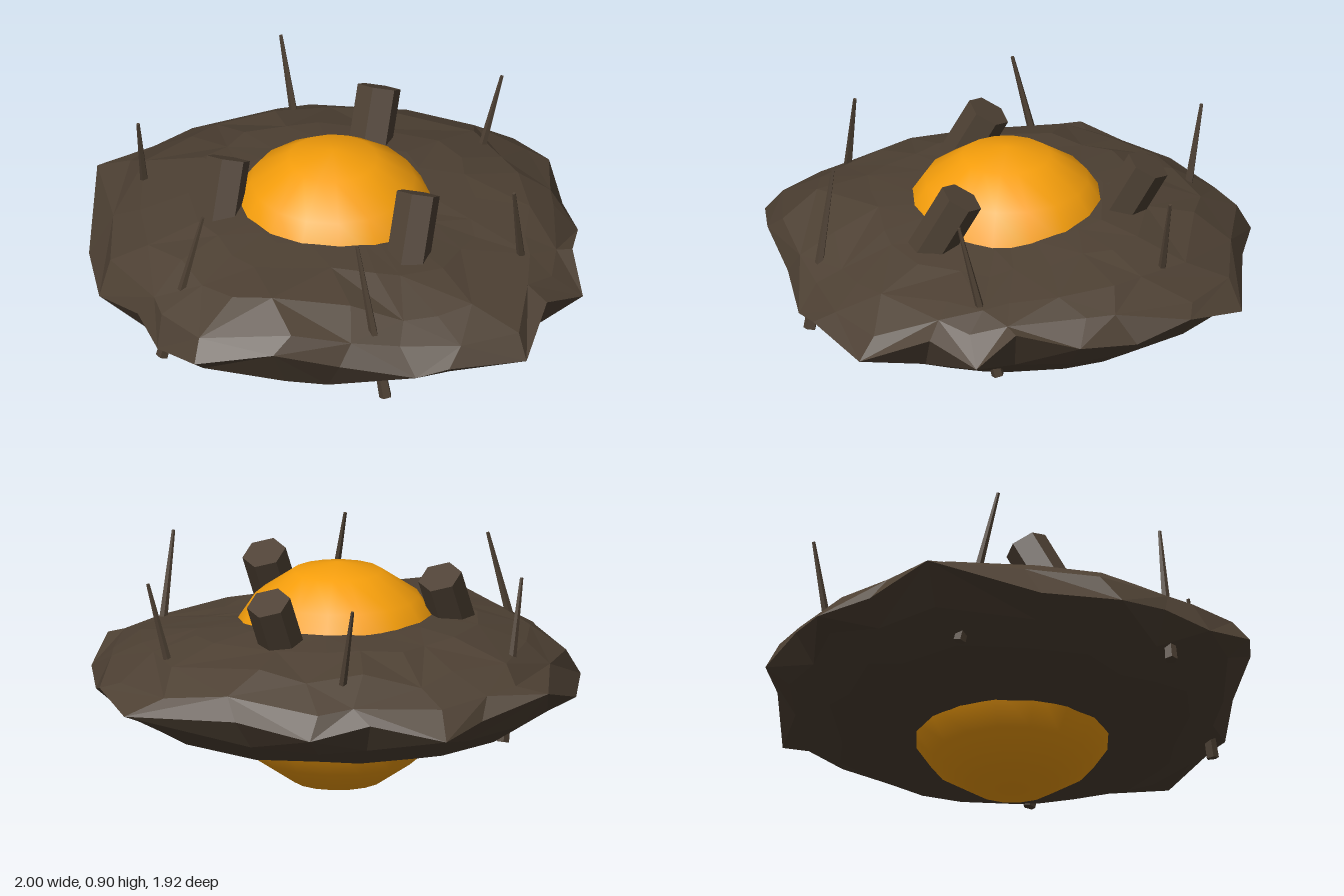
import * as THREE from 'three';

const rockMat = new THREE.MeshStandardMaterial({ color: 0x4d4033, flatShading: true, side: THREE.DoubleSide });
const coreMat = new THREE.MeshStandardMaterial({ color: 0xf59e0b });

// Rim of the rock disc: x, z, y, clockwise seen from above
const RIM = [
  [0.4, -0.96, 0.45], [0.6, -0.79, 0.5], [0.72, -0.6, 0.44], [0.85, -0.4, 0.47], [0.91, -0.16, 0.54], [1, -0.02, 0.43],
  [0.92, 0.17, 0.5], [0.93, 0.44, 0.4], [0.69, 0.65, 0.44], [0.58, 0.72, 0.42], [0.3, 0.8, 0.46],
  [0.07, 0.91, 0.53], [-0.23, 0.96, 0.46], [-0.42, 0.84, 0.42], [-0.55, 0.69, 0.46], [-0.75, 0.56, 0.42],
  [-0.89, 0.27, 0.41], [-1, -0.15, 0.53], [-0.85, -0.4, 0.46], [-0.81, -0.61, 0.42],
  [-0.55, -0.74, 0.48], [-0.37, -0.89, 0.43], [-0.05, -0.9, 0.47],
];

// Underside and upper surface: shallow bowls, the upper one with a few bumps and dips
const underside = (x, z) => 0.218 + 0.5 * Math.max(0, Math.hypot(x, z) - 0.35) ** 2;
const BUMPS = [[0.5, 0, -0.05, 0.1], [0.6, 0.7, -0.07, 0.08], [0, 0.9, 0.06, 0.08], [-0.7, -0.1, 0.03, 0.05]];
const upperSide = (x, z) => BUMPS.reduce(
  (y, [cx, cz, height, width]) => y + height * Math.exp(-((x - cx) ** 2 + (z - cz) ** 2) / width),
  0.695 - 0.4 * Math.max(0, Math.hypot(x, z) - 0.3) ** 2);
const rimOnly = () => 0;

// Rings from bottom to top: scale of the rim, surface, pull toward the rim height, roughness
const RINGS = [
  [0.3, underside, 0, 0], [0.46, underside, 0, 0.15], [0.74, underside, 0, 0.4], [0.9, underside, 0.15, 0.6],
  [1, rimOnly, 1, 0],
  [0.93, upperSide, 0.2, 0.7], [0.79, upperSide, 0, 0.6], [0.58, upperSide, 0, 0.4], [0.4, upperSide, 0, 0.15], [0.28, upperSide, 0, 0],
];

function seeded(seed) {
  return () => {
    seed = (seed * 16807) % 2147483647;
    return (seed / 2147483647) * 2 - 1;
  };
}

function rockGeometry() {
  const rand = seeded(4217), n = RIM.length, pos = [], idx = [];
  RINGS.forEach(([scale, surface, pull, rough], j) => {
    for (let i = 0; i < n; i++) {
      const a = RIM[i];
      const slide = rand() * 0.4 * rough, s = scale + rand() * 0.04 * rough, bump = rand() * 0.02 * rough;
      const b = RIM[(i + (slide < 0 ? n - 1 : 1)) % n];
      const [x, z, rimY] = a.map((v, c) => v + (b[c] - v) * Math.abs(slide));
      pos.push(x * s, (surface(x * s, z * s) + bump) * (1 - pull) + rimY * pull, z * s);
    }
    if (j === 0) return;
    for (let i = 0; i < n; i++) {
      const k = (i + 1) % n, lo = (j - 1) * n, hi = j * n;
      if ((i + j) % 2) idx.push(lo + i, hi + i, lo + k, lo + k, hi + i, hi + k);
      else idx.push(lo + i, hi + i, hi + k, lo + i, hi + k, lo + k);
    }
  });
  const geo = new THREE.BufferGeometry();
  geo.setAttribute('position', new THREE.Float32BufferAttribute(pos, 3));
  geo.setIndex(idx);
  geo.computeVertexNormals();
  return geo;
}

export function createModel() {
  const model = new THREE.Group();
  const add = (name, geo, mat) => {
    const mesh = new THREE.Mesh(geo, mat);
    mesh.name = name;
    model.add(mesh);
    return mesh;
  };

  add('rockDisc', rockGeometry(), rockMat);

  // Glowing core through the middle of the disc
  add('core', new THREE.SphereGeometry(0.445, 16, 8), coreMat).position.y = 0.448;

  // Three hexagonal stacks leaning backward, placed by the centre of their caps
  const stackGeo = new THREE.CylinderGeometry(0.085, 0.085, 0.4, 6).translate(0, -0.2, 0);
  [[0, -0.545], [-0.38, 0.12], [0.385, 0.12]].forEach(([x, z], i) => {
    const stack = add('stack' + (i + 1), stackGeo, rockMat);
    stack.position.set(x, 0.853, z);
    stack.rotation.x = -0.5;
  });

  // Six thin tapered spikes piercing the rim: middle x, z and half of the lean in x, z
  const spikeGeo = new THREE.CylinderGeometry(0.007, 0.025, 0.63, 5);
  const up = new THREE.Vector3(0, 1, 0);
  for (const side of [-1, 1]) {
    [[0.757, 0.005, 0, 0.075], [0.38, 0.66, -0.07, -0.035], [0.38, -0.65, 0.065, -0.04]].forEach(([x, z, dx, dz], i) => {
      const spike = add((side > 0 ? 'left' : 'right') + 'Spike' + (i + 1), spikeGeo, rockMat);
      spike.position.set(side * x, 0.6, z);
      spike.quaternion.setFromUnitVectors(up, new THREE.Vector3(side * dx, 0.305, dz).normalize());
    });
  }
  return model;
}
